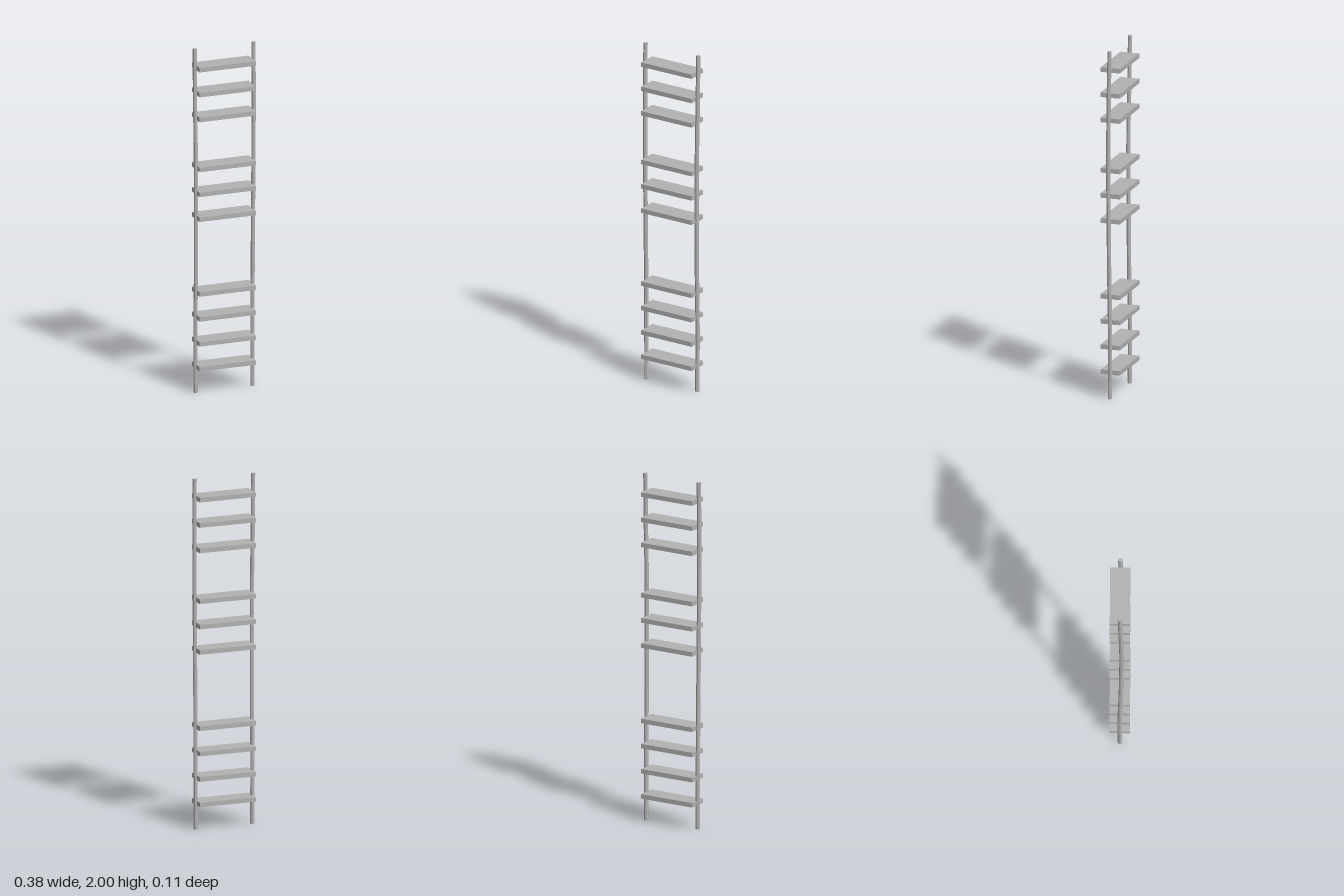
import * as THREE from 'three';

export function createModel() {
  const group = new THREE.Group();
  const grey = new THREE.MeshStandardMaterial({ color: 0xb2b2b2, flatShading: true });
  grey.name = 'plain grey';

  // Ten flat treads on an even pitch, with gaps where some are missing
  const treadGeo = new THREE.BoxGeometry(0.335, 0.026, 0.112);
  for (const step of [0, 1, 2, 3, 6, 7, 8, 10, 11, 12]) {
    const tread = new THREE.Mesh(treadGeo, grey);
    tread.name = 'tread';
    tread.position.set(0, 0.15 + step * 0.145, -0.001);
    group.add(tread);
  }

  // Side ropes: octagonal, hanging with a slight sway along their length
  const sway = new THREE.CatmullRomCurve3([
    [0.169, 0, 0], [0.170, 0.4, -0.001], [0.169, 0.7, 0.004], [0.170, 1.0, 0.007],
    [0.172, 1.4, 0.009], [0.175, 1.7, 0.005], [0.175, 2, 0],
  ].map((p) => new THREE.Vector3(...p)));
  const samples = sway.getPoints(120);
  for (const side of [-1, 1]) {
    const geo = new THREE.CylinderGeometry(0.0125, 0.0125, 2, 8, 12);
    geo.translate(0, 1, 0);
    const pos = geo.attributes.position;
    for (let i = 0; i < pos.count; i++) {
      const y = pos.getY(i);
      const near = samples.reduce((a, b) => (Math.abs(b.y - y) < Math.abs(a.y - y) ? b : a));
      pos.setX(i, pos.getX(i) + side * near.x);
      pos.setZ(i, pos.getZ(i) + near.z);
    }
    geo.computeVertexNormals();
    const rope = new THREE.Mesh(geo, grey);
    rope.name = side > 0 ? 'leftSideRope' : 'rightSideRope';
    group.add(rope);
  }
  return group;
}
